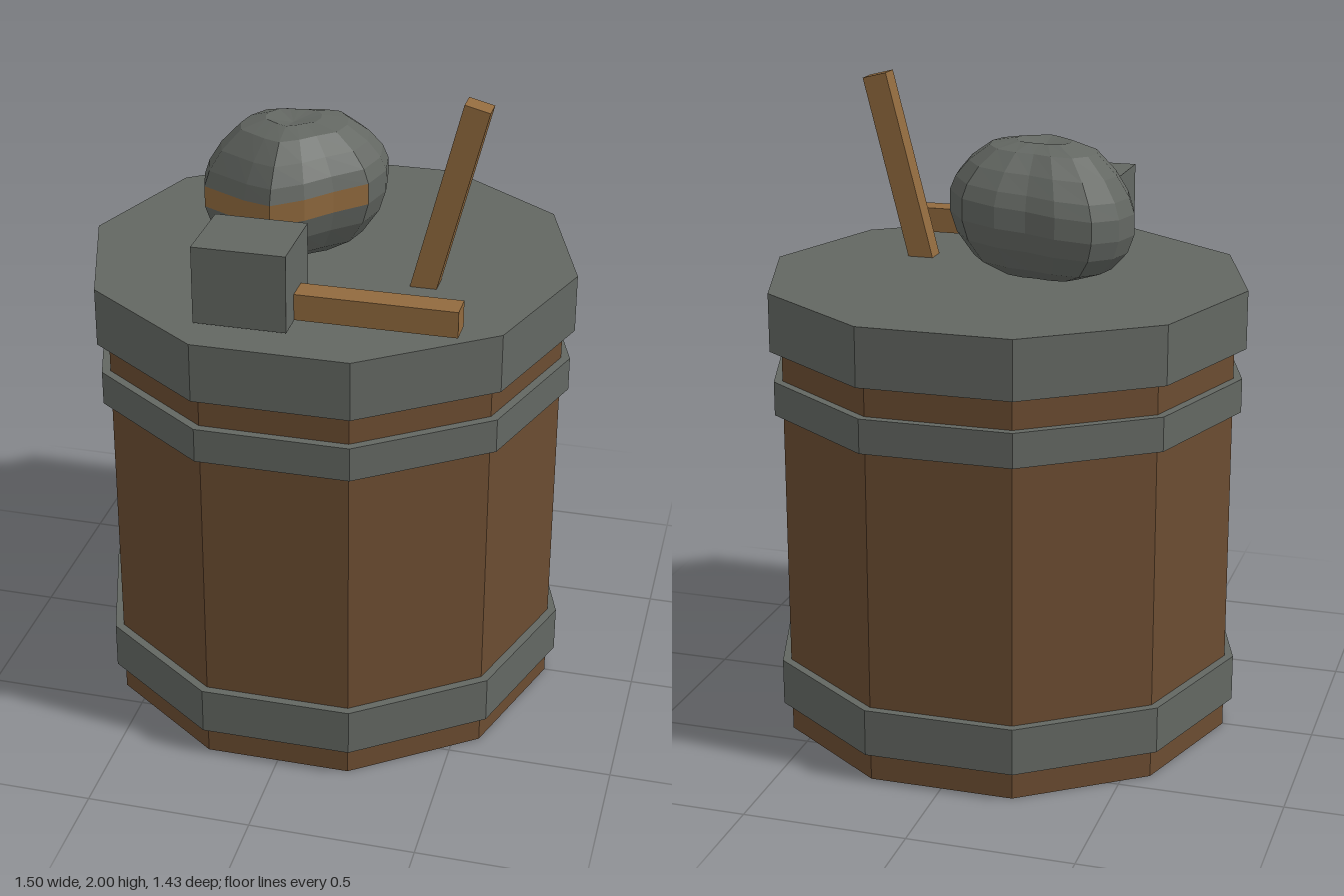
import * as THREE from 'three';

const mat = (name, color) => {
  const m = new THREE.MeshStandardMaterial({ color, flatShading: true });
  m.name = name;
  return m;
};

export function createModel() {
  const metal = mat('grey metal', 0x636762);
  const stave = mat('dark wood', 0x6b4c31);
  const wood = mat('light wood', 0x916a3e);
  const model = new THREE.Group();

  const add = (name, geometry, material, parent = model) => {
    const mesh = new THREE.Mesh(geometry, material);
    mesh.name = name;
    parent.add(mesh);
    return mesh;
  };

  // Ten-sided drum with a corner on the x axis
  const drum = (name, radius, y0, y1, material) => {
    const g = new THREE.CylinderGeometry(radius, radius, y1 - y0, 10, 1, false, Math.PI / 2);
    add(name, g, material).position.y = (y0 + y1) / 2;
  };
  drum('barrelBody', 0.715, 0, 1.3, stave);
  drum('lowerHoop', 0.742, 0.09, 0.235, metal);
  drum('upperHoop', 0.742, 1.04, 1.145, metal);
  drum('lid', 0.752, 1.24, 1.42, metal);

  // Hammer lying on the lid
  const hammer = new THREE.Group();
  hammer.name = 'hammer';
  model.add(hammer);
  add('hammerHead', new THREE.BoxGeometry(0.275, 0.235, 0.24), metal, hammer)
    .position.set(-0.12, 1.545, 0.475);
  add('hammerHandle', new THREE.BoxGeometry(0.475, 0.08, 0.08), wood, hammer)
    .position.set(0.255, 1.47, 0.472);

  // Upright stick leaning to the side
  const stick = add('leaningStick', new THREE.BoxGeometry(0.078, 0.6, 0.068), wood);
  stick.position.set(0.395, 1.699, 0.159);
  stick.rotation.z = -0.25;

  // Lumpy head: outline radii around the axis, scaled by rows from top to bottom
  const outline = [0.285, 0.277, 0.235, 0.245, 0.27, 0.24, 0.235, 0.27,
    0.28, 0.28, 0.28, 0.24, 0.212, 0.242, 0.282, 0.288];
  const rows = [[0, 1.825], [0.3, 1.842], [0.58, 1.82], [0.8, 1.765], [0.94, 1.71],
    [1, 1.665], [1, 1.6], [0.93, 1.54], [0.75, 1.475], [0.45, 1.435], [0, 1.415]];
  const n = outline.length;
  const point = (i, j) => {
    const [s, y] = rows[i];
    const a = (j / n) * Math.PI * 2;
    const r = outline[j % n] * s;
    const dx = Math.cos(a) * r;
    return [dx - 0.12, Math.max(1.415, y + 0.12 * dx * s), Math.sin(a) * r];
  };
  const lump = (keep) => {
    const pos = [];
    for (let i = 0; i < rows.length - 1; i++) {
      for (let j = 0; j < n; j++) {
        if (!keep(i, j)) continue;
        const a = point(i, j), b = point(i, j + 1), c = point(i + 1, j + 1), d = point(i + 1, j);
        if (i > 0) pos.push(...a, ...b, ...d);
        if (i < rows.length - 2) pos.push(...b, ...c, ...d);
        // Pole caps need the triangle that avoids the collapsed edge
        if (i === rows.length - 2) pos.splice(-9, 9, ...a, ...b, ...c);
      }
    }
    const g = new THREE.BufferGeometry();
    g.setAttribute('position', new THREE.Float32BufferAttribute(pos, 3));
    g.computeVertexNormals();
    return g;
  };
  // Front strip runs round the widest row
  const isStrip = (i, j) => i === 5 && j >= 1 && j <= 6;
  add('roundLump', lump((i, j) => !isStrip(i, j)), metal);
  add('lumpFrontStrip', lump(isStrip), wood);

  return model;
}
